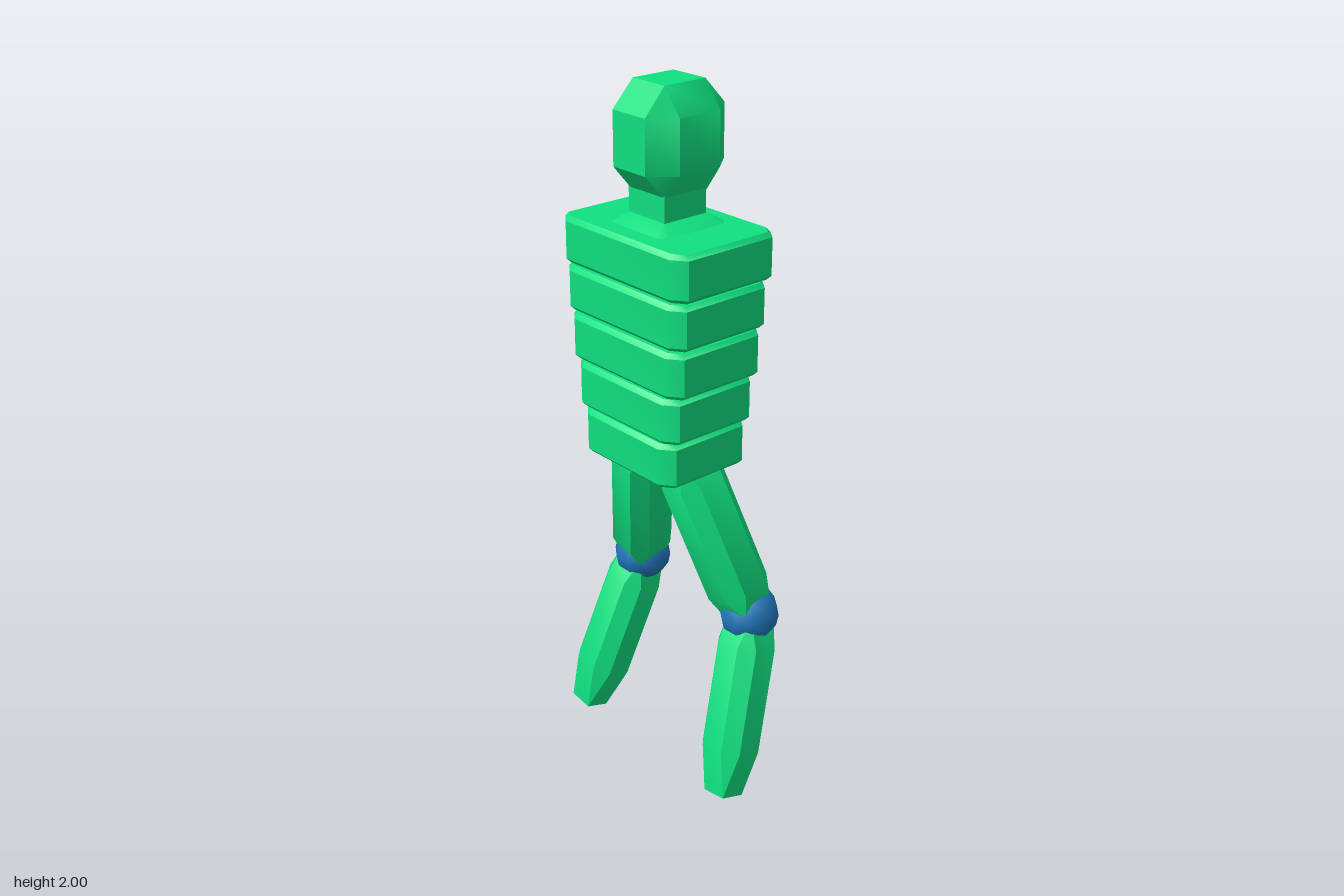
import * as THREE from 'three';
import { toCreasedNormals } from 'three/addons/utils/BufferGeometryUtils.js';

const green = new THREE.MeshStandardMaterial({ color: 0x10e080 });
const blue = new THREE.MeshStandardMaterial({ color: 0x2277bb });

// Eight-cornered cross-section: a rectangle with its corners cut by cx, cz
function ring([y, hx, hz, cx = 0, cz = cx]) {
  return [
    [hx, -hz + cz], [hx, hz - cz], [hx - cx, hz], [-hx + cx, hz],
    [-hx, hz - cz], [-hx, -hz + cz], [-hx + cx, -hz], [hx - cx, -hz],
  ].map(([x, z]) => new THREE.Vector3(x, y, z));
}

// Closed solid through sections listed from bottom to top
function loft(sections) {
  const rings = sections.map(ring);
  const pos = [];
  const tri = (a, b, c) => {
    if (a.equals(b) || b.equals(c) || c.equals(a)) return;
    for (const p of [a, b, c]) pos.push(p.x, p.y, p.z);
  };
  for (let k = 0; k + 1 < rings.length; k++) {
    const b = rings[k], t = rings[k + 1];
    for (let i = 0; i < 8; i++) {
      const j = (i + 1) % 8;
      tri(b[i], t[i], t[j]);
      tri(b[i], t[j], b[j]);
    }
  }
  const bottom = rings[0], top = rings[rings.length - 1];
  for (let i = 1; i < 7; i++) {
    tri(bottom[0], bottom[i], bottom[i + 1]);
    tri(top[0], top[i + 1], top[i]);
  }
  const geo = new THREE.BufferGeometry();
  geo.setAttribute('position', new THREE.Float32BufferAttribute(pos, 3));
  return toCreasedNormals(geo, 0.7);
}

function add(parent, name, geo, material, x = 0, y = 0, z = 0) {
  const mesh = new THREE.Mesh(geo, material);
  mesh.name = name;
  mesh.position.set(x, y, z);
  parent.add(mesh);
  return mesh;
}

// Chamfered limb running from one point to another, tapered at both ends
function limb(parent, name, from, to, half, startTaper, endTaper, startHalf, endHalf) {
  const a = new THREE.Vector3(...from), b = new THREE.Vector3(...to);
  const length = a.distanceTo(b), cut = half * 0.5;
  const geo = loft([
    [0, endHalf, endHalf],
    [endTaper, half, half, cut],
    [length - startTaper, half, half, cut],
    [length, startHalf, startHalf],
  ]);
  const mesh = add(parent, name, geo, green, ...to);
  const direction = a.sub(b).normalize();
  mesh.quaternion.setFromUnitVectors(new THREE.Vector3(0, 1, 0), direction);
}

export function createModel() {
  const model = new THREE.Group();
  model.name = 'figure';

  // Head and neck
  add(model, 'head', loft([
    [1.715, 0.065, 0.07],
    [1.785, 0.117, 0.132, 0.055, 0.065],
    [1.93, 0.117, 0.132, 0.055, 0.065],
    [2.0, 0.06, 0.067],
  ]), green, 0, 0, 0.004);
  add(model, 'neck', loft([[1.64, 0.07, 0.07], [1.73, 0.07, 0.07]]), green, 0, 0, 0.01);
  add(model, 'collar', loft([
    [1.62, 0.125, 0.13, 0.03],
    [1.657, 0.067, 0.07],
  ]), green, 0, 0, 0.007);

  // Stacked torso segments: bottom, top, half width, back z, front z
  const segments = [
    [0.965, 1.092, 0.185, -0.127, 0.17],
    [1.1, 1.227, 0.204, -0.132, 0.175],
    [1.235, 1.362, 0.224, -0.139, 0.178],
    [1.372, 1.495, 0.236, -0.146, 0.181],
    [1.503, 1.63, 0.245, -0.16, 0.183],
  ];
  segments.forEach(([y0, y1, hx, back, front], i) => {
    const hz = (front - back) / 2, e = 0.012;
    add(model, 'torsoSegment' + (i + 1), loft([
      [y0, hx - e, hz - e, 0.033, 0.023],
      [y0 + e, hx, hz, 0.04, 0.03],
      [y1 - e, hx, hz, 0.04, 0.03],
      [y1, hx - e, hz - e, 0.033, 0.023],
    ]), green, 0, 0, (front + back) / 2);
  });

  // Inner core filling the grooves between segments
  add(model, 'torsoCore', loft([
    [1.0, 0.155, 0.12, 0.03],
    [1.6, 0.215, 0.14, 0.03],
  ]), green, 0, 0, 0.018);

  // Mirrored legs
  for (const [side, s] of [['left', 1], ['right', -1]]) {
    const leg = new THREE.Group();
    leg.name = side + 'Leg';
    limb(leg, 'thigh', [s * 0.088, 0.985, 0.025], [s * 0.228, 0.53, -0.088],
      0.08, 0.06, 0.075, 0.055, 0.05);
    add(leg, 'knee', new THREE.SphereGeometry(0.085, 10, 8), blue, s * 0.232, 0.518, -0.093);
    limb(leg, 'shin', [s * 0.237, 0.505, -0.097], [s * 0.307, 0.012, 0.066],
      0.075, 0.08, 0.14, 0.045, 0.038);
    model.add(leg);
  }
  return model;
}
